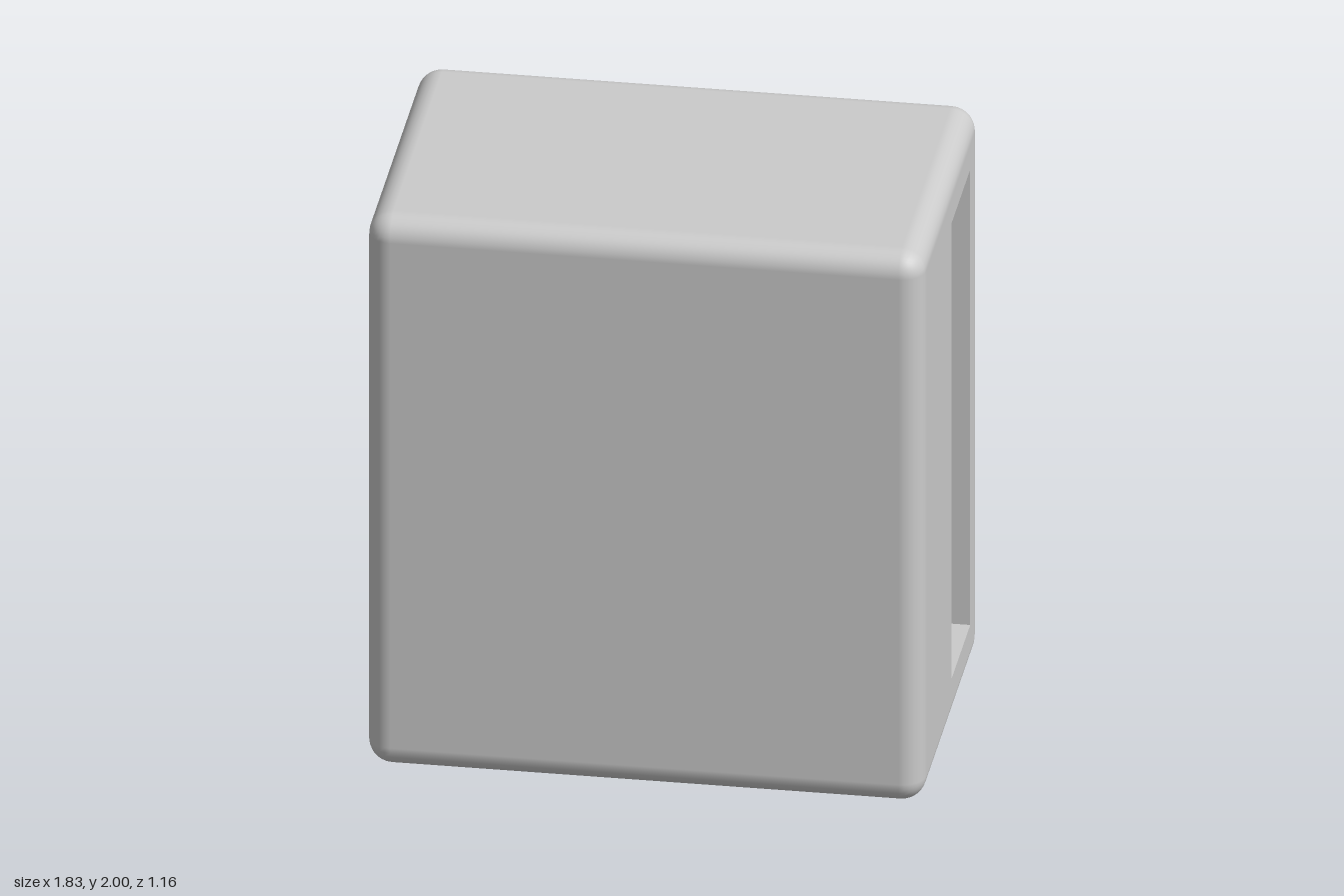
import * as THREE from 'three';
import { RoundedBoxGeometry } from 'three/addons/geometries/RoundedBoxGeometry.js';

const W = 1.83, H = 2, D = 1.16, R = 0.08; // outer size and edge radius
const WALL_X = 0.75; // inner face of the wall that closes the deep cavity

// Openings as [-z, y] outlines, seen along the x axis
const slot = [[0.02, 0.17], [0.41, 0.17], [0.41, 1.83], [0.02, 1.83]];
const slotAndCavity = [
  [0.41, 0.17], [0.41, 1.83], [0.02, 1.83], [0.02, 1.67],
  [-0.48, 1.67], [-0.48, 0.33], [0.02, 0.33], [0.02, 0.17],
];

const toPoints = (list) => list.map(([u, v]) => new THREE.Vector2(u, v));

// Rounded box with its flat +x and -x centres removed
function openShell() {
  const box = new RoundedBoxGeometry(W, H, D, 4, R);
  const geo = box.index ? box.toNonIndexed() : box;
  const p = geo.attributes.position, n = geo.attributes.normal;
  const pos = [], nor = [];
  for (let i = 0; i < p.count; i += 3) {
    const flatEnd = [0, 1, 2].every((k) => Math.abs(p.getX(i + k)) > W / 2 - 1e-5);
    if (flatEnd) continue;
    for (let k = i; k < i + 3; k++) {
      pos.push(p.getX(k), p.getY(k) + H / 2, p.getZ(k));
      nor.push(n.getX(k), n.getY(k), n.getZ(k));
    }
  }
  const out = new THREE.BufferGeometry();
  out.setAttribute('position', new THREE.Float32BufferAttribute(pos, 3));
  out.setAttribute('normal', new THREE.Float32BufferAttribute(nor, 3));
  return out;
}

// Block filling the shell between two x positions, pierced by one opening
function piercedBlock(x0, x1, opening) {
  const u = D / 2 - R;
  const shape = new THREE.Shape(toPoints([[-u, R], [u, R], [u, H - R], [-u, H - R]]));
  shape.holes.push(new THREE.Path(toPoints(opening)));
  const geo = new THREE.ExtrudeGeometry(shape, { depth: x1 - x0, bevelEnabled: false });
  return geo.rotateY(Math.PI / 2).translate(x0, 0, 0);
}

export function createModel() {
  const model = new THREE.Group();
  model.name = 'slottedCase';
  const material = new THREE.MeshStandardMaterial({ color: 0xcccccc });
  const add = (name, geometry) => {
    const mesh = new THREE.Mesh(geometry, material);
    mesh.name = name;
    model.add(mesh);
  };

  add('roundedShell', openShell());
  // Wall with only the narrow slot passing through
  add('slottedEndWall', piercedBlock(WALL_X, W / 2, slot));
  // Main body with the slot joined to the deep cavity, open at -x
  add('cavityBody', piercedBlock(-W / 2, WALL_X, slotAndCavity));
  return model;
}
